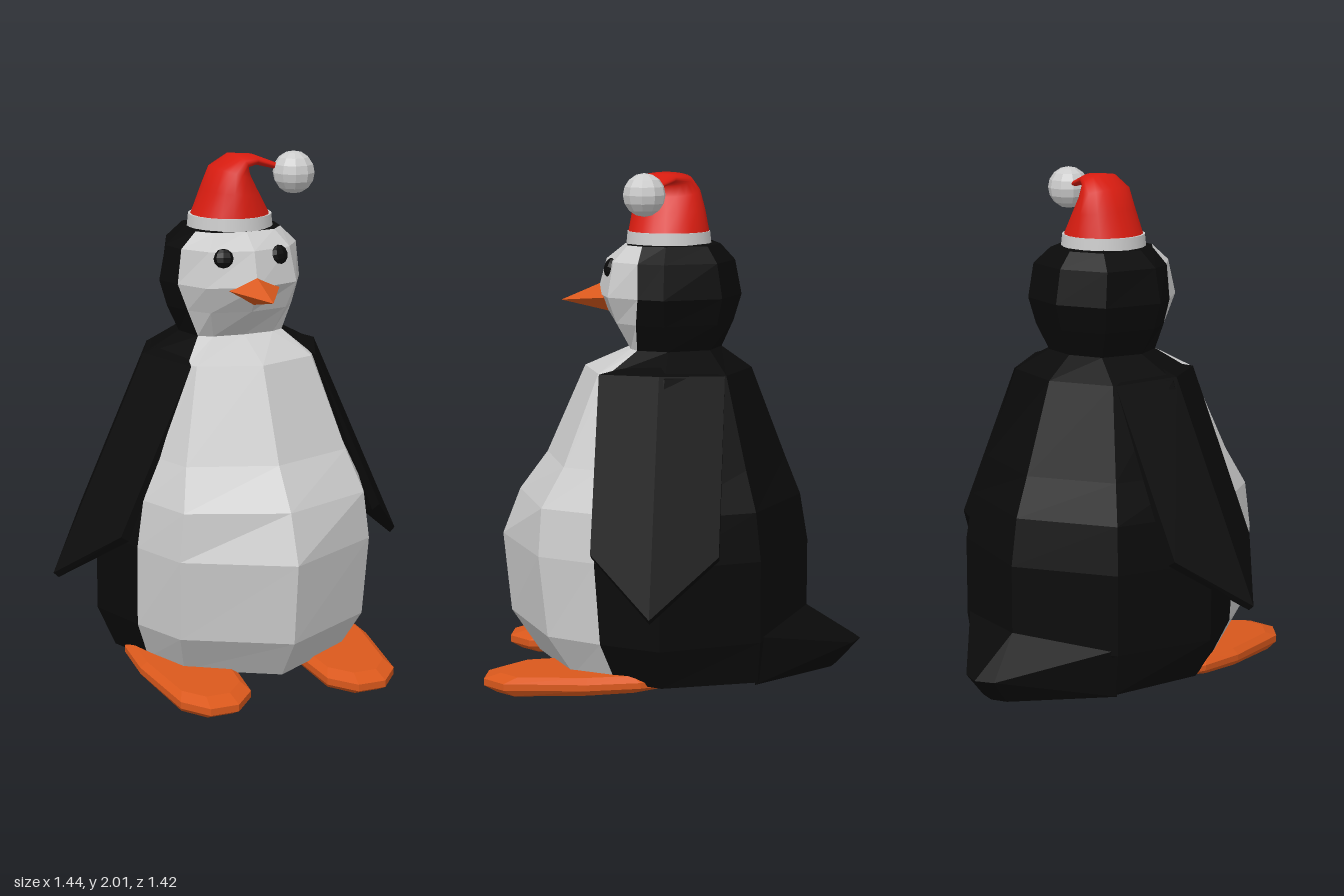
import * as THREE from 'three';
import { ConvexGeometry } from 'three/addons/geometries/ConvexGeometry.js';

const mat = (color, flat = true) =>
  new THREE.MeshStandardMaterial({ color, flatShading: flat });
const white = mat(0xcccccc), whiteSmooth = mat(0xcccccc, false);
const black = mat(0x0a0a0a), orange = mat(0xd9581c);
const red = new THREE.MeshStandardMaterial({ color: 0xd81c10, side: THREE.DoubleSide });

const V = (x, y, z) => new THREE.Vector3(x, y, z);
const hull = (pts) => new ConvexGeometry(pts.map((p) => V(...p)));
const mirrorX = (pts) => pts.map(([x, y, z]) => [-x, y, z]);

// Joins closed rings (listed bottom to top) for the columns that pass the test
function loft(rings, keep = () => true) {
  const n = rings[0].length, pos = [], index = [];
  rings.forEach((r) => r.forEach((p) => pos.push(...p)));
  for (let i = 0; i < rings.length - 1; i++) {
    for (let j = 0; j < n; j++) {
      if (!keep(j)) continue;
      const a = i * n + j, b = i * n + ((j + 1) % n);
      index.push(a, b, b + n, a, b + n, a + n);
    }
  }
  const g = new THREE.BufferGeometry();
  g.setAttribute('position', new THREE.Float32BufferAttribute(pos, 3));
  g.setIndex(index);
  g.computeVertexNormals();
  return g;
}

// Half cross-section, front to back: y, front z, four side points (x, z), back z
const torsoLevels = [
  [0.12, 0.55, 0.32, 0.37, 0.40, 0.20, 0.47, 0.02, 0.36, -0.33, -0.42],
  [0.28, 0.66, 0.37, 0.46, 0.46, 0.25, 0.54, 0.02, 0.38, -0.34, -0.50],
  [0.59, 0.69, 0.38, 0.49, 0.465, 0.27, 0.54, 0.02, 0.38, -0.34, -0.50],
  [0.77, 0.62, 0.36, 0.48, 0.44, 0.27, 0.51, 0.02, 0.36, -0.32, -0.47],
  [0.92, 0.51, 0.32, 0.40, 0.37, 0.26, 0.46, 0.02, 0.32, -0.28, -0.41],
  [1.26, 0.36, 0.23, 0.28, 0.25, 0.24, 0.35, 0.02, 0.24, -0.20, -0.28],
  [1.34, 0.18, 0.12, 0.17, 0.17, 0.14, 0.20, 0.02, 0.13, -0.13, -0.165],
];
const headLevels = [
  [1.34, 0.18, 0.12, 0.17, 0.17, 0.14, 0.20, 0.02, 0.13, -0.13, -0.165],
  [1.44, 0.25, 0.15, 0.22, 0.21, 0.14, 0.25, 0.03, 0.17, -0.16, -0.21],
  [1.54, 0.31, 0.18, 0.25, 0.245, 0.13, 0.28, 0.03, 0.19, -0.18, -0.24],
  [1.67, 0.275, 0.16, 0.23, 0.23, 0.13, 0.255, 0.03, 0.18, -0.16, -0.215],
  [1.73, 0.20, 0.12, 0.18, 0.17, 0.12, 0.185, 0.03, 0.13, -0.12, -0.16],
];

function ringOf([y, zf, ...r]) {
  const zb = r.pop(), side = [];
  for (let i = 0; i < r.length; i += 2) side.push([r[i], y, r[i + 1]]);
  return [[0, y, zf], ...side, [0, y, zb], ...mirrorX(side).reverse()];
}

export function createModel() {
  const model = new THREE.Group();
  const add = (name, geometry, material) => {
    const m = new THREE.Mesh(geometry, material);
    m.name = name;
    model.add(m);
    return m;
  };

  // Torso and head: pale front columns, dark back columns
  const isFront = (j) => j < 2 || j > 7;
  const point = (y, z) => Array(10).fill([0, y, z]);
  const torso = torsoLevels.map(ringOf), head = headLevels.map(ringOf);
  add('belly', loft(torso, isFront), white);
  add('back', loft(torso, (j) => !isFront(j)), black);
  add('underside', loft([point(0, 0.04), torso[0]]), black);
  add('face', loft(head, isFront), white);
  add('headBack', loft(head, (j) => !isFront(j)), black);
  add('crown', loft([head[head.length - 1], point(1.75, 0.03)]), black);

  // Tail
  const tailSide = [[0.37, 0.3, -0.335], [0.36, 0.11, -0.32], [0.07, 0.2, -0.68], [0.06, 0.1, -0.6]];
  add('tail', hull([...tailSide, ...mirrorX(tailSide),
    [0, 0.33, -0.5], [0, 0.2, -0.71], [0, 0.1, -0.62], [0, 0.1, -0.3]]), black);

  // Beak
  add('beak', hull([[0, 1.51, 0.45], [0.1, 1.53, 0.275], [-0.1, 1.53, 0.275],
    [0, 1.58, 0.29], [0, 1.47, 0.27]]), orange);

  // Wings: ridged plates with a pointed tip
  const wing = [[0.2, 1.32, 0.04], [0.35, 1.27, 0.04], [0.72, 0.45, 0.04], [0.70, 0.43, 0.04]];
  for (const z of [0.275, -0.195]) {
    wing.push([0.25, 1.26, z], [0.53, 0.64, z], [0.50, 0.62, z]);
  }

  // Feet: outline stacked at three heights, rising toward the heel
  const sole = [[0.24, 0.71], [0.35, 0.71], [0.43, 0.62], [0.47, 0.3], [0.46, 0.1],
    [0.38, -0.06], [0.27, -0.09], [0.15, 0.1], [0.125, 0.3], [0.155, 0.62]];
  const foot = [];
  for (const [x, z] of sole) {
    const low = 0.05 + (0.71 - z) * 0.07;
    const high = z > 0 ? 0.125 + (0.71 - z) * 0.05 : 0.135;
    for (const [t, s] of [[0, 0.88], [0.35, 1], [0.7, 1], [1, 0.84]]) {
      foot.push([0.3 + (x - 0.3) * s, low + (high - low) * t, 0.31 + (z - 0.31) * s]);
    }
  }

  for (const [side, s] of [['left', 1], ['right', -1]]) {
    const place = (pts) => hull(s > 0 ? pts : mirrorX(pts));
    add(side + 'Wing', place(wing), black);
    add(side + 'Foot', place(foot), orange);
    const eye = add(side + 'Eye', new THREE.SphereGeometry(1, 8, 6), black);
    eye.scale.set(0.037, 0.036, 0.02);
    eye.position.set(s * 0.112, 1.647, 0.25);
    eye.rotation.set(-0.3, s * 0.35, 0, 'YXZ');
  }

  // Hat: brim, drooping cone and bobble
  const brim = add('hatBrim', new THREE.CylinderGeometry(0.157, 0.162, 0.05, 24), whiteSmooth);
  brim.position.set(0, 1.752, 0.037);

  // Centre x, y, z, tilt, in-plane radius, depth radius
  const hatPath = [
    [0, 1.77, 0.037, 0, 0.15, 0.155],
    [0, 1.86, 0.037, 0.1, 0.108, 0.138],
    [0, 1.93, 0.04, 0.3, 0.075, 0.122],
    [0.027, 1.972, 0.045, 0.9, 0.034, 0.1],
    [0.085, 1.975, 0.055, 1.4, 0.02, 0.055],
    [0.18, 1.945, 0.08, 1.4, 0.012, 0.02],
  ];
  const hatRings = hatPath.map(([x, y, z, t, a, d]) =>
    Array.from({ length: 20 }, (_, i) => {
      const q = (i / 20) * Math.PI * 2, u = a * Math.sin(q);
      return [x + u * Math.cos(t), y - u * Math.sin(t), z + d * Math.cos(q)];
    }));
  add('hatCone', loft(hatRings), red);
  add('hatBobble', new THREE.SphereGeometry(0.08, 10, 8), white).position.set(0.23, 1.925, 0.105);

  return model;
}
